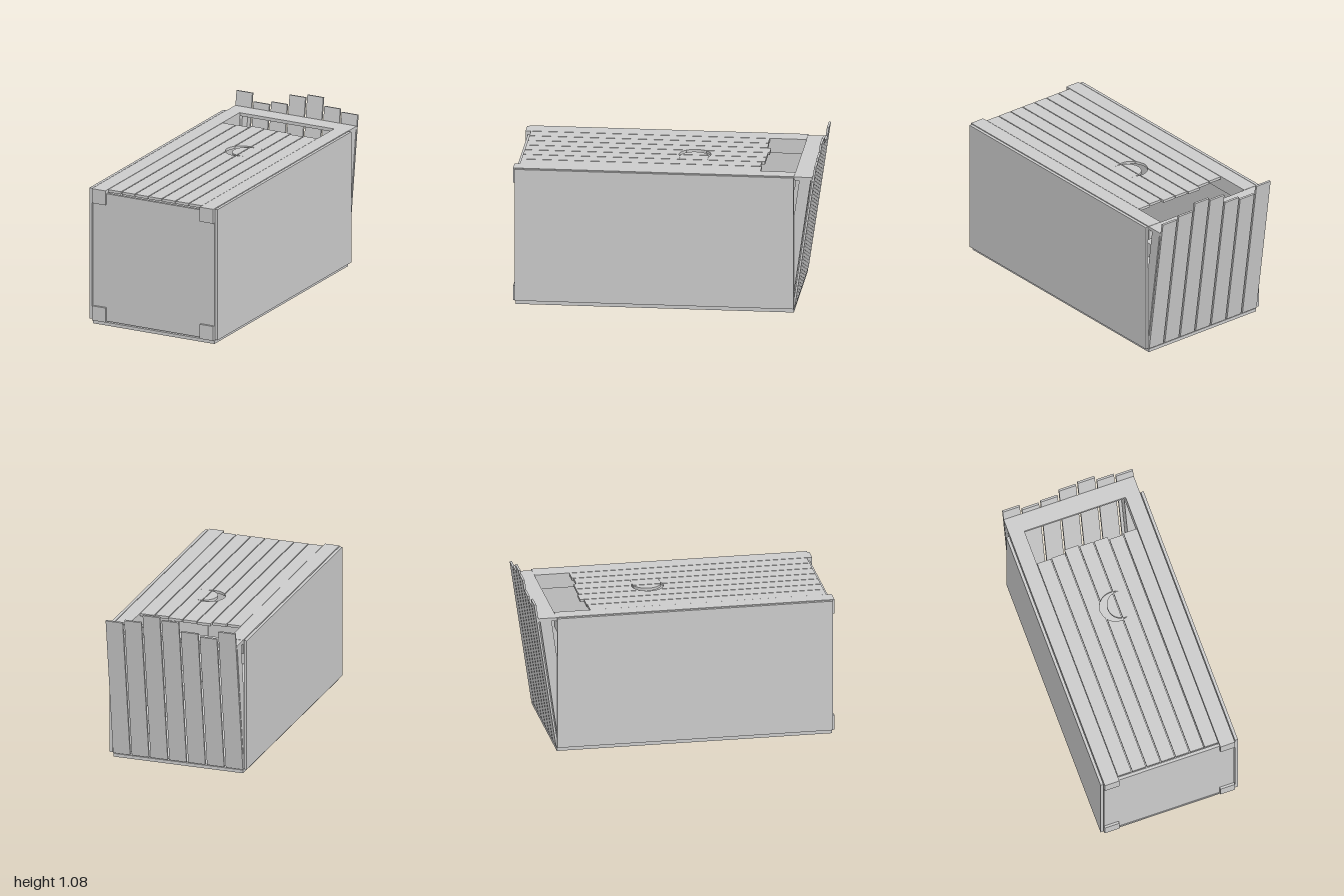
import * as THREE from 'three';

const material = new THREE.MeshStandardMaterial({ color: 0xcccccc, flatShading: true });

function add(group, name, geometry) {
  const mesh = new THREE.Mesh(geometry, material);
  mesh.name = name;
  group.add(mesh);
}

// Box given by its limits on each axis
function slab(x0, x1, y0, y1, z0, z1) {
  return new THREE.BoxGeometry(x1 - x0, y1 - y0, z1 - z0)
    .translate((x0 + x1) / 2, (y0 + y1) / 2, (z0 + z1) / 2);
}

function extrude(points, depth) {
  const shape = new THREE.Shape(points.map(([a, b]) => new THREE.Vector2(a, b)));
  return new THREE.ExtrudeGeometry(shape, { depth, bevelEnabled: false });
}

// [z, y] side profile extruded from x0 to x1
const sideProfile = (points, x0, x1) =>
  extrude(points, x1 - x0).rotateY(-Math.PI / 2).translate(x1, 0, 0);

// [x, z] plan outline extruded from y0 to y1
const planProfile = (points, y0, y1) =>
  extrude(points.map(([x, z]) => [x, -z]), y1 - y0).rotateX(-Math.PI / 2).translate(0, y0, 0);

// Crescent cut-out: half heights of its outer and inner arcs at x
const moon = { z: -0.15, left: -0.07, innerLeft: -0.02, tip: 0.08 };
const halfChord = (x, centre, r) =>
  Math.sqrt(Math.max(0, r * r - (Math.min(x, moon.tip) - centre) ** 2));
const outer = x => halfChord(x, 0.034, 0.104);
const inner = x => halfChord(x, 0.073, 0.093);

function samples(x0, x1, n = 24) {
  return Array.from({ length: n + 1 }, (_, i) => x0 + (x1 - x0) * i / n);
}

export function createModel() {
  const model = new THREE.Group();

  // Walls of the box
  add(model, 'backWall', slab(-0.45, 0.45, 0, 0.022, -0.84, 0.985));
  add(model, 'basePanel', slab(-0.45, 0.45, 0.03, 0.905, 0.965, 0.985));
  for (const s of [-1, 1]) {
    const [a, b] = [s * 0.455, s * 0.475].sort((p, q) => p - q);
    add(model, s > 0 ? 'leftWall' : 'rightWall', slab(a, b, 0.03, 0.927, -0.84, 0.987));
  }

  // Corner posts and slanted roof beams
  for (const x of [-0.45, 0.35]) {
    for (const y of [0.025, 0.83]) {
      add(model, 'cornerPost', slab(x, x + 0.1, y, y + 0.099, -0.84, 1));
    }
    add(model, 'roofBeam', sideProfile(
      [[-0.825, 0.03], [-0.752, 0.03], [-0.875, 0.905], [-0.95, 0.905]], x, x + 0.1));
  }
  add(model, 'header', slab(-0.45, 0.45, 0.905, 0.927, -0.96, -0.84));

  // Door planks; those crossed by the crescent are split around it
  const doorEnds = [-0.6, -0.605, -0.63, -0.62, -0.62, -0.6, -0.61];
  const [y0, y1, zEnd] = [0.91, 0.928, 0.965];
  doorEnds.forEach((end, i) => {
    const x0 = -0.347 + i * 0.1, x1 = x0 + 0.094;
    if (x1 < moon.left || x0 > moon.tip) {
      add(model, 'doorPlank', slab(x0, x1, y0, y1, end, zEnd));
      return;
    }
    const xs = samples(x0, x1);
    add(model, 'doorPlankUpper', planProfile(
      [[x0, end], ...xs.map(x => [x, moon.z - outer(x)]), [x1, end]], y0, y1));
    add(model, 'doorPlankLower', planProfile(
      [[x0, zEnd], ...xs.map(x => [x, moon.z + outer(x)]), [x1, zEnd]], y0, y1));
    const start = Math.max(x0, moon.innerLeft + 0.0005);
    if (start < x1) {
      const mid = samples(start, x1);
      add(model, 'doorPlankMiddle', planProfile([
        ...mid.map(x => [x, moon.z - inner(x)]),
        ...mid.reverse().map(x => [x, moon.z + inner(x)])], y0, y1));
    }
  });

  // Slanted roof planks of uneven length
  const roofTops = [1.025, 0.97, 0.99, 1.055, 1.075, 1.02, 1.0];
  const slope = 0.146, thick = 0.014;
  roofTops.forEach((top, i) => {
    const x = -0.45 + i * 0.1303;
    const bottom = 0.028, zTop = -0.845 - slope * (top - bottom);
    add(model, 'roofPlank', sideProfile(
      [[-0.845, bottom], [-0.845 + thick, bottom + 0.002],
        [zTop + thick, top], [zTop, top - 0.002]], x, x + 0.118));
  });

  return model;
}
